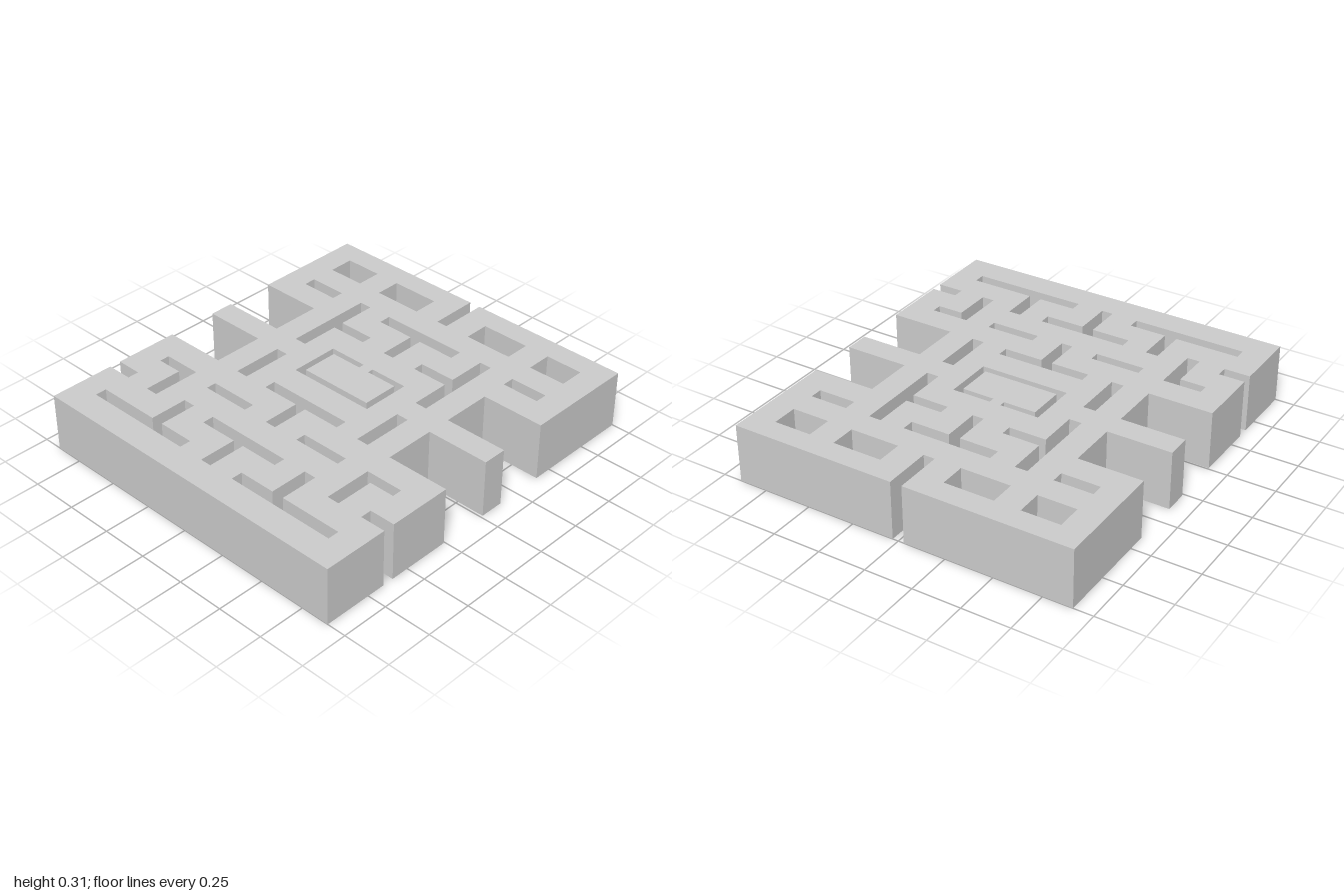
import * as THREE from 'three';

const HEIGHT = 0.305;

// Points are [x, z] in plan.
const mirrored = (pts) => pts.map(([x, z]) => [-x, z]).reverse();
// Closes a half outline (running from the axis on the +x side) with its mirror image.
const symmetric = (half) => [...half, ...mirrored(half)];
const toPoints = (pts) => pts.map(([x, z]) => new THREE.Vector2(x, z));
const rect = (x0, x1, z0, z1) => [[x0, z0], [x1, z0], [x1, z1], [x0, z1]];
// Central T-shaped slot: bar z0..z1 and a stem running to z2.
const tee = (z0, z1, z2) => symmetric([[0.235, z0], [0.235, z1], [0.03, z1], [0.03, z2]]);

export function createModel() {
  const group = new THREE.Group();
  group.name = 'mazeSlab';

  // Outer outline with the rear slot and the side notches
  const outline = symmetric([
    [0.03, -0.745], [0.03, -1], [0.9, -1],
    [0.9, -0.405], [0.565, -0.405], [0.565, -0.14], [0.9, -0.14],
    [0.9, -0.013], [0.565, -0.013], [0.565, 0.257], [0.9, 0.257],
    [0.9, 0.595], [0.765, 0.595], [0.765, 0.655], [0.9, 0.655],
    [0.9, 1],
  ]);

  // Slots on the centre line
  const centreSlots = [
    tee(-0.61, -0.545, -0.348),
    tee(0.198, 0.257, 0.453),
    tee(0.595, 0.655, 0.855),
    // Slot around the central chamber, interrupted at its door
    symmetric([
      [0.2, 0.02], [0.2, -0.173], [0.03, -0.173],
      [0.03, -0.205], [0.235, -0.205], [0.235, 0.055],
    ]),
  ];

  // Slots on the +x side, repeated on the other side
  const sideSlots = [
    rect(0.565, 0.765, -0.88, -0.745),
    rect(0.17, 0.43, -0.88, -0.745),
    rect(0.565, 0.765, -0.61, -0.545),
    // Sideways T
    [[0.365, -0.61], [0.43, -0.61], [0.43, -0.14], [0.365, -0.14],
      [0.365, -0.348], [0.17, -0.348], [0.17, -0.405], [0.365, -0.405]],
    rect(0.365, 0.43, -0.013, 0.257),
    rect(0.17, 0.43, 0.4, 0.453),
    // L
    [[0.565, 0.4], [0.765, 0.4], [0.765, 0.453], [0.63, 0.453],
      [0.63, 0.655], [0.565, 0.655]],
    // Upturned T
    [[0.365, 0.595], [0.43, 0.595], [0.43, 0.795], [0.765, 0.795],
      [0.765, 0.855], [0.17, 0.855], [0.17, 0.795], [0.365, 0.795]],
  ];

  const shape = new THREE.Shape(toPoints(outline));
  for (const slot of [...centreSlots, ...sideSlots, ...sideSlots.map(mirrored)]) {
    shape.holes.push(new THREE.Path(toPoints(slot)));
  }

  // Extrude, then lay flat so the plan's second axis becomes z
  const geometry = new THREE.ExtrudeGeometry(shape, { depth: HEIGHT, bevelEnabled: false });
  geometry.rotateX(Math.PI / 2);
  geometry.translate(0, HEIGHT, 0);

  const corridors = new THREE.Mesh(
    geometry,
    new THREE.MeshStandardMaterial({ color: 0xcccccc, flatShading: true }),
  );
  corridors.name = 'corridors';
  group.add(corridors);
  return group;
}
